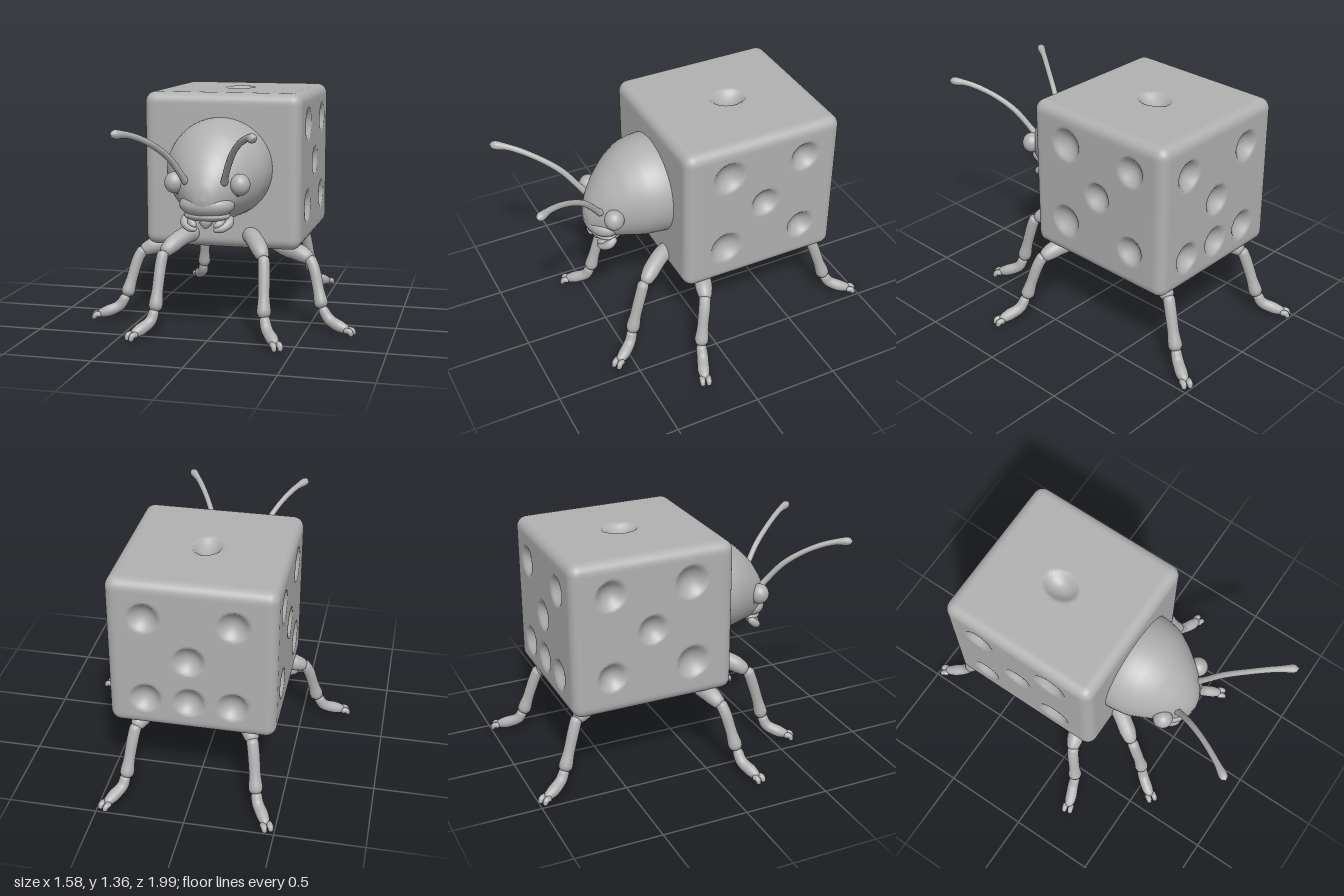
import * as THREE from 'three';
import { mergeVertices } from 'three/addons/utils/BufferGeometryUtils.js';

const shell = new THREE.MeshStandardMaterial({ color: 0xb0b0b0 });
shell.name = 'grey shell';

function smooth(geo) {
  geo.deleteAttribute('uv');
  geo.deleteAttribute('normal');
  const g = mergeVertices(geo, 1e-5);
  g.computeVertexNormals();
  return g;
}

function add(parent, name, geo) {
  const m = new THREE.Mesh(geo, shell);
  m.name = name;
  parent.add(m);
  return m;
}

function ball(parent, name, [x, y, z], [rx, ry, rz]) {
  const m = add(parent, name, new THREE.SphereGeometry(1, 32, 20));
  m.position.set(x, y, z);
  m.scale.set(rx, ry, rz);
  return m;
}

// Tube through points with one radius per point and rounded ends
function limb(parent, name, side, pts, radii, sides = 14) {
  const curve = new THREE.CatmullRomCurve3(pts.map(p => new THREE.Vector3(p[0] * side, p[1], p[2])));
  curve.getUtoTmapping = u => u;
  const seg = (pts.length - 1) * 8;
  const geo = new THREE.TubeGeometry(curve, seg, 1, sides);
  const pos = geo.attributes.position;
  const v = new THREE.Vector3();
  for (let i = 0; i <= seg; i++) {
    const c = curve.getPoint(i / seg);
    const f = (i / seg) * (radii.length - 1);
    const k = Math.min(Math.floor(f), radii.length - 2);
    const end = Math.min(i, seg - i);
    const cap = end < 3 ? [0.01, 0.72, 0.94][end] : 1;
    const r = THREE.MathUtils.lerp(radii[k], radii[k + 1], THREE.MathUtils.smoothstep(f - k, 0, 1)) * cap;
    for (let j = 0; j <= sides; j++) {
      const n = i * (sides + 1) + j;
      v.fromBufferAttribute(pos, n).sub(c).multiplyScalar(r).add(c);
      pos.setXYZ(n, v.x, v.y, v.z);
    }
  }
  return add(parent, name, smooth(geo));
}

// Rounded die body with pips pressed into its faces
function dieBody() {
  const half = new THREE.Vector3(0.46, 0.4475, 0.478);
  const centre = new THREE.Vector3(0, 0.9225, -0.297);
  const R = 0.06;
  const geo = new THREE.BoxGeometry(half.x * 2, half.y * 2, half.z * 2, 72, 72, 72);
  // pip: axis, direction, then centre and radii on the other two axes
  const pips = [{ axis: 'y', dir: 1, at: { x: 0, z: -0.31 }, r: { x: 0.082, z: 0.105 } }];
  for (const dir of [-1, 1]) {
    for (const [z, y, r] of [[-0.08, 1.18, 0.095], [-0.55, 1.18, 0.085], [-0.31, 0.94, 0.083], [-0.07, 0.7, 0.095], [-0.55, 0.7, 0.083]])
      pips.push({ axis: 'x', dir, at: { z, y }, r: { z: r, y: r } });
  }
  for (const [x, y] of [[0.25, 1.16], [-0.23, 1.16], [0.01, 0.92], [0.25, 0.66], [0.01, 0.66], [-0.23, 0.66]])
    pips.push({ axis: 'z', dir: -1, at: { x, y }, r: { x: 0.085, y: 0.085 } });
  for (const x of [-0.22, 0.22])
    for (const z of [-0.57, -0.31, -0.05])
      pips.push({ axis: 'y', dir: -1, at: { x, z }, r: { x: 0.08, z: 0.08 } });

  const pos = geo.attributes.position;
  const p = new THREE.Vector3(), q = new THREE.Vector3();
  const inner = half.clone().subScalar(R), low = inner.clone().negate();
  for (let i = 0; i < pos.count; i++) {
    p.fromBufferAttribute(pos, i);
    q.copy(p).clamp(low, inner);
    p.sub(q).normalize().multiplyScalar(R).add(q).add(centre);
    for (const { axis, dir, at, r } of pips) {
      const face = centre[axis] + dir * half[axis];
      if (Math.abs(p[axis] - face) > 0.01) continue;
      let d = 0;
      for (const k in at) d += ((p[k] - at[k]) / r[k]) ** 2;
      if (d < 1) { p[axis] -= dir * 0.05 * (1 - d); break; }
    }
    pos.setXYZ(i, p.x, p.y, p.z);
  }
  return smooth(geo);
}

// Domed head lofted forward; rows are z, half width, half height, centre y
function headShape() {
  const rows = [
    [0.10, 0.30, 0.29, 0.94], [0.20, 0.30, 0.287, 0.945], [0.30, 0.285, 0.275, 0.94],
    [0.40, 0.235, 0.24, 0.92], [0.50, 0.165, 0.18, 0.88], [0.56, 0.10, 0.115, 0.85],
    [0.59, 0.05, 0.06, 0.83], [0.60, 0.0005, 0.0005, 0.82],
  ];
  const size = new THREE.CatmullRomCurve3(rows.map(r => new THREE.Vector3(r[1], r[2], r[3])));
  const depth = new THREE.CatmullRomCurve3(rows.map(r => new THREE.Vector3(0, 0, r[0])));
  const geo = new THREE.CylinderGeometry(1, 1, 1, 48, 35, true).rotateX(Math.PI / 2);
  const pos = geo.attributes.position;
  for (let i = 0; i < pos.count; i++) {
    const t = THREE.MathUtils.clamp(pos.getZ(i) + 0.5, 0, 1);
    const s = size.getPoint(t);
    pos.setXYZ(i, pos.getX(i) * s.x, s.z + pos.getY(i) * s.y, depth.getPoint(t).z);
  }
  return smooth(geo);
}

// Each leg: thigh, shin and foot paths for the +x side
const legs = {
  front: {
    thigh: [[0.16, 0.56, 0.14], [0.2, 0.55, 0.22], [0.25, 0.515, 0.3], [0.295, 0.465, 0.37]],
    shin: [[0.29, 0.49, 0.365], [0.3, 0.4, 0.395], [0.307, 0.28, 0.43], [0.315, 0.145, 0.465]],
    foot: [[0.315, 0.17, 0.46], [0.335, 0.1, 0.485], [0.375, 0.065, 0.54], [0.41, 0.045, 0.595]],
  },
  middle: {
    thigh: [[0.26, 0.51, 0.01], [0.35, 0.465, 0.03], [0.44, 0.445, 0.06], [0.52, 0.41, 0.085]],
    shin: [[0.495, 0.435, 0.08], [0.53, 0.37, 0.1], [0.56, 0.26, 0.125], [0.59, 0.14, 0.15]],
    foot: [[0.585, 0.16, 0.15], [0.63, 0.09, 0.16], [0.69, 0.06, 0.185], [0.755, 0.04, 0.205]],
  },
  rear: {
    thigh: [[0.22, 0.52, -0.52], [0.26, 0.48, -0.59], [0.3, 0.45, -0.66], [0.335, 0.41, -0.73]],
    shin: [[0.325, 0.44, -0.715], [0.34, 0.36, -0.745], [0.355, 0.25, -0.78], [0.37, 0.125, -0.82]],
    foot: [[0.37, 0.15, -0.815], [0.385, 0.09, -0.845], [0.42, 0.06, -0.9], [0.455, 0.04, -0.965]],
  },
};

function addLeg(parent, key, side) {
  const leg = new THREE.Group();
  leg.name = key + (side > 0 ? 'LeftLeg' : 'RightLeg');
  const { thigh, shin, foot } = legs[key];
  limb(leg, 'thigh', side, thigh, [0.05, 0.05, 0.05, 0.036]);
  limb(leg, 'shin', side, shin, [0.034, 0.034, 0.033, 0.044]);
  limb(leg, 'foot', side, foot, [0.03, 0.033, 0.035, 0.025]);
  // Two short claws splayed from the toe
  const toe = new THREE.Vector3(...foot[3]);
  const dir = toe.clone().sub(new THREE.Vector3(...foot[2])).setY(0).normalize();
  for (const k of [-1, 1]) {
    const across = new THREE.Vector3(-dir.z, 0, dir.x).multiplyScalar(0.018 * k);
    const a = toe.clone().addScaledVector(dir, -0.025).add(across);
    const b = toe.clone().addScaledVector(dir, 0.01).add(across);
    const c = toe.clone().addScaledVector(dir, 0.025).add(across).setY(0.013);
    limb(leg, 'claw', side, [a.toArray(), b.toArray(), c.toArray()], [0.018, 0.017, 0.013], 10);
  }
  parent.add(leg);
}

export function createModel() {
  const model = new THREE.Group();
  model.name = 'diceBeetle';
  add(model, 'dieBody', dieBody());

  const head = new THREE.Group();
  head.name = 'head';
  model.add(head);
  add(head, 'skull', headShape());
  ball(head, 'muzzle', [0, 0.785, 0.495], [0.155, 0.075, 0.1]);
  ball(head, 'lowerLip', [0, 0.725, 0.49], [0.13, 0.035, 0.08]);
  limb(head, 'mouthTip', 1, [[0, 0.71, 0.5], [0, 0.685, 0.52], [0, 0.655, 0.535]], [0.04, 0.035, 0.012]);

  for (const side of [-1, 1]) {
    ball(head, 'eye', [0.185 * side, 0.9, 0.49], [0.056, 0.06, 0.056]);
    ball(head, 'eyeSocket', [0.15 * side, 0.885, 0.455], [0.055, 0.065, 0.06]);
    limb(head, 'antenna', side,
      [[0.105, 0.9, 0.53], [0.125, 0.96, 0.575], [0.17, 1.06, 0.655], [0.235, 1.145, 0.77], [0.31, 1.2, 0.89], [0.375, 1.215, 0.99]],
      [0.022, 0.018, 0.018, 0.017, 0.018, 0.028]);
    limb(head, 'jaw', side, [[0.12, 0.72, 0.46], [0.125, 0.685, 0.5], [0.095, 0.66, 0.53], [0.045, 0.65, 0.54]], [0.022, 0.025, 0.021, 0.014]);
    limb(head, 'innerJaw', side, [[0.085, 0.71, 0.46], [0.08, 0.685, 0.52], [0.05, 0.67, 0.545]], [0.022, 0.024, 0.014]);
    for (const key in legs) addLeg(model, key, side);
  }
  return model;
}
